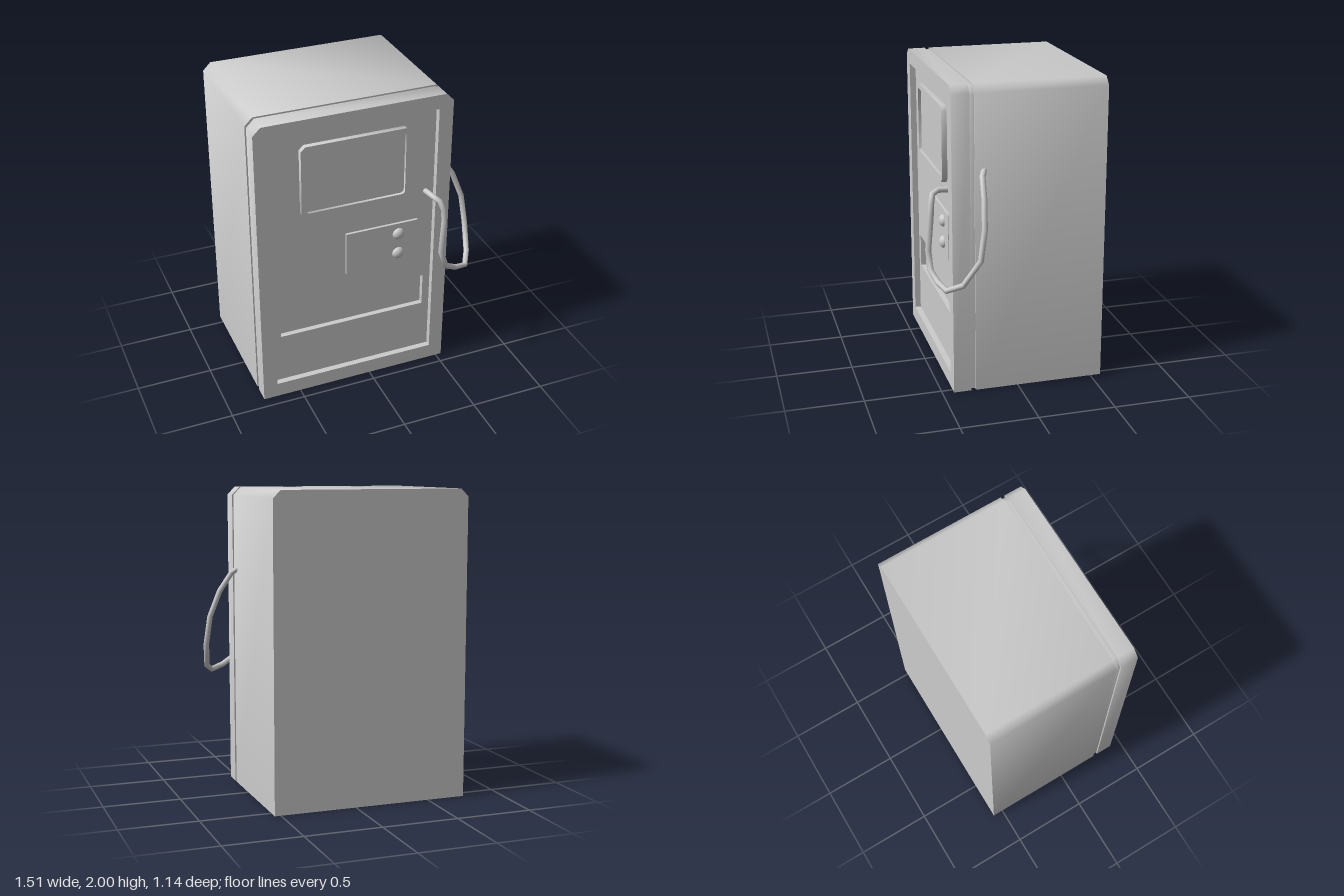
import * as THREE from 'three';
import { toCreasedNormals } from 'three/addons/utils/BufferGeometryUtils.js';

const material = new THREE.MeshStandardMaterial({ color: 0xcccccc });

// Rectangle with optional chamfers on the top and bottom corners
function outline(x0, x1, y0, y1, top = 0, bottom = 0, Type = THREE.Shape) {
  const pts = [
    [x0 + bottom, y0], [x1 - bottom, y0], [x1, y0 + bottom], [x1, y1 - top],
    [x1 - top, y1], [x0 + top, y1], [x0, y1 - top], [x0, y0 + bottom],
  ].map(([x, y]) => new THREE.Vector2(x, y));
  return new Type(pts.filter((p, i) => !p.equals(pts[(i + 1) % pts.length])));
}

const hole = (x0, x1, y0, y1, c = 0) => outline(x0, x1, y0, y1, c, c, THREE.Path);

export function createModel() {
  const group = new THREE.Group();

  const add = (name, geometry) => {
    const mesh = new THREE.Mesh(geometry, material);
    mesh.name = name;
    group.add(mesh);
    return mesh;
  };

  // Slab between two depths, smooth across the chamfers
  const slab = (name, shape, z0, z1, holes = []) => {
    shape.holes.push(...holes);
    const geo = new THREE.ExtrudeGeometry(shape, { depth: z1 - z0, bevelEnabled: false });
    geo.translate(0, 0, z0);
    return add(name, toCreasedNormals(geo, 1));
  };

  // Cabinet, shadow gap and front frame
  slab('cabinet', outline(-0.755, 0.54, 0, 2, 0.05), -0.57, 0.28);
  slab('shadowGap', outline(-0.745, 0.53, 0.01, 1.99, 0.05), 0.28, 0.31);
  slab('frontFrame', outline(-0.755, 0.54, 0, 2, 0.05), 0.31, 0.425,
    [hole(-0.66, 0.445, 0.1, 1.905)]);

  // Recessed front panel with a tray opening
  slab('frontPanel', outline(-0.66, 0.445, 0.1, 1.905), 0.35, 0.385,
    [hole(-0.61, 0.395, 0.445, 0.67)]);
  slab('trayBack', outline(-0.66, 0.445, 0.1, 1.905), 0.31, 0.35);

  // Screen with raised surround
  slab('screenFrame', outline(-0.46, 0.26, 1.32, 1.815, 0.03, 0.03), 0.385, 0.42,
    [hole(-0.43, 0.23, 1.355, 1.785, 0.015)]);
  slab('screen', outline(-0.43, 0.23, 1.355, 1.785, 0.015, 0.015), 0.385, 0.4);

  // Control plate and its two domed buttons
  slab('controlPlate', outline(-0.16, 0.335, 0.83, 1.13), 0.385, 0.403);
  for (const y of [0.91, 1.055]) {
    const dome = new THREE.SphereGeometry(0.041, 16, 6, 0, Math.PI * 2, 0, Math.PI / 2);
    dome.rotateX(Math.PI / 2).scale(1, 1, 0.72);
    add('button', dome).position.set(0.2, y, 0.402);
  }

  // Hose looping from the front panel to the side of the cabinet
  const path = new THREE.CatmullRomCurve3([
    [0.39, 1.32, 0.38], [0.4, 1.325, 0.48], [0.425, 1.31, 0.52], [0.45, 1.25, 0.535],
    [0.455, 1.17, 0.54], [0.435, 0.95, 0.555], [0.475, 0.83, 0.55],
    [0.56, 0.78, 0.525], [0.65, 0.755, 0.49], [0.705, 0.8, 0.4],
    [0.735, 0.96, 0.295], [0.715, 1.15, 0.265], [0.65, 1.32, 0.25],
    [0.57, 1.44, 0.24], [0.53, 1.47, 0.22],
  ].map((p) => new THREE.Vector3(...p)));
  // One ring per path point keeps the hose faceted
  path.getPointAt = path.getPoint;
  path.getTangentAt = path.getTangent;
  add('hose', new THREE.TubeGeometry(path, path.points.length - 1, 0.019, 8));

  return group;
}
